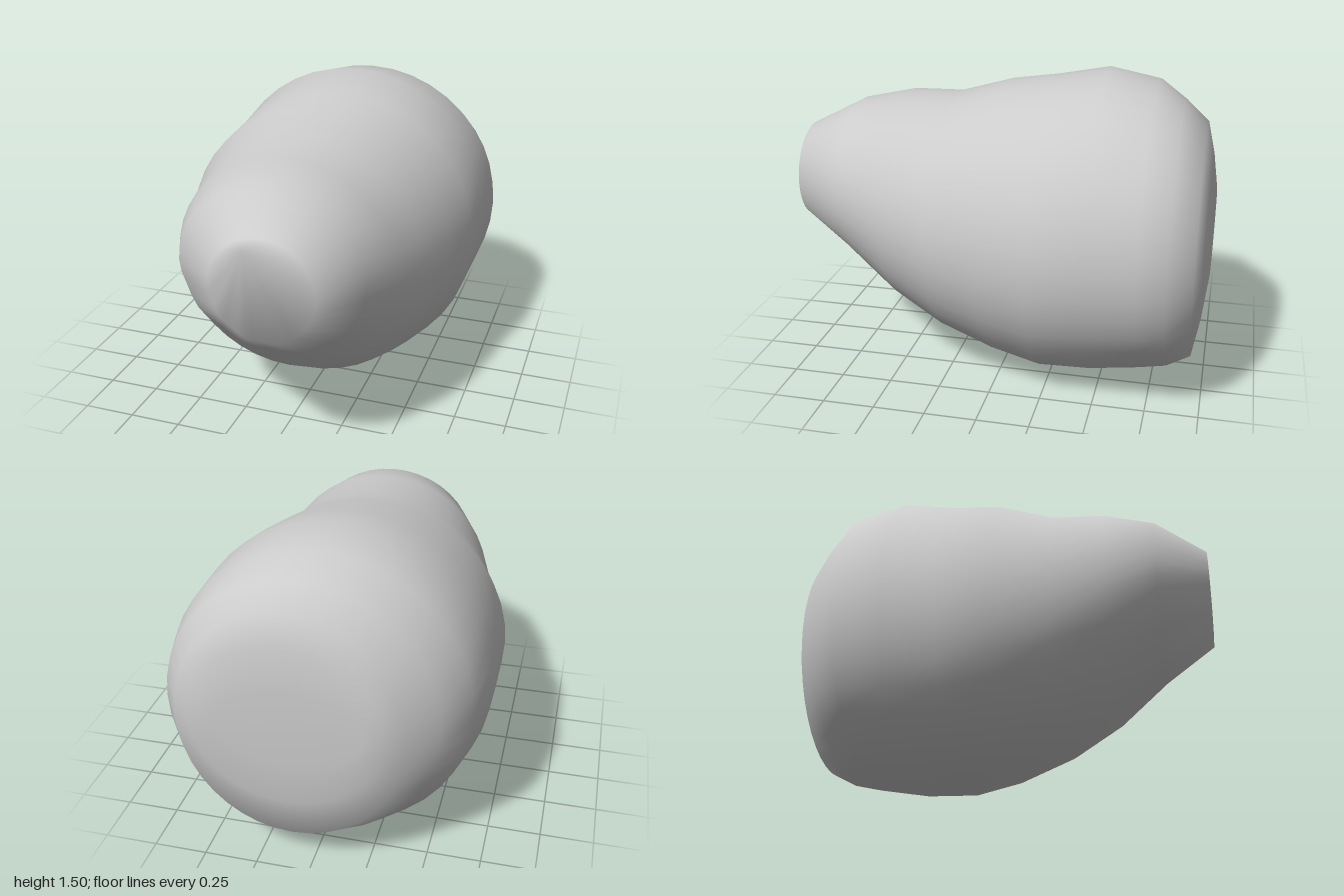
import * as THREE from 'three';

// Cross-sections from blunt tip to broad base: z, bottom y, top y, min x, max x
const SECTIONS = [
  [1.00, 0.69, 1.17, -0.18, 0.30],
  [0.76, 0.51, 1.29, -0.43, 0.44],
  [0.52, 0.30, 1.34, -0.55, 0.53],
  [0.28, 0.15, 1.34, -0.63, 0.59],
  [0.02, 0.04, 1.41, -0.72, 0.64],
  [-0.21, 0.00, 1.45, -0.72, 0.70],
  [-0.46, 0.01, 1.50, -0.72, 0.71],
  [-0.70, 0.06, 1.46, -0.67, 0.715],
  [-0.83, 0.10, 1.38, -0.55, 0.69],
  [-0.94, 0.16, 1.29, -0.42, 0.61],
  [-0.975, 0.36, 1.14, -0.34, 0.54],
  [-1.00, 0.58, 0.95, -0.25, 0.40],
];
const SIDES = 40;

function loftGeometry() {
  const points = [], faces = [];
  for (const [z, y0, y1, x0, x1] of SECTIONS) {
    for (let i = 0; i < SIDES; i++) {
      const a = (i / SIDES) * Math.PI * 2;
      // shallow puckers around the lower edge of the tip
      const lower = Math.max(0, -Math.sin(a + 0.3));
      const pucker = z > 0.7 ? 1 - 0.04 * lower * (1 - Math.cos(a * 10)) * 0.5 : 1;
      points.push(
        (x0 + x1) / 2 + Math.cos(a) * pucker * (x1 - x0) / 2,
        (y0 + y1) / 2 + Math.sin(a) * pucker * (y1 - y0) / 2,
        z
      );
    }
  }
  // skin between neighbouring sections
  for (let k = 0; k < SECTIONS.length - 1; k++) {
    for (let i = 0; i < SIDES; i++) {
      const j = (i + 1) % SIDES;
      const a = k * SIDES, b = a + SIDES;
      faces.push(a + i, b + i, b + j, a + i, b + j, a + j);
    }
  }
  // tip fan meets high up; base fan is slightly dished
  const tip = points.length / 3, base = tip + 1;
  points.push(-0.02, 1.1, 1, 0.07, 0.76, -0.975);
  const last = (SECTIONS.length - 1) * SIDES;
  for (let i = 0; i < SIDES; i++) {
    const j = (i + 1) % SIDES;
    faces.push(tip, i, j, base, last + j, last + i);
  }
  const geometry = new THREE.BufferGeometry();
  geometry.setAttribute('position', new THREE.Float32BufferAttribute(points, 3));
  geometry.setIndex(faces);
  geometry.computeVertexNormals();
  return geometry;
}

export function createModel() {
  const group = new THREE.Group();
  group.name = 'taperedLump';
  const body = new THREE.Mesh(loftGeometry(), new THREE.MeshStandardMaterial({ color: 0xcccccc }));
  body.name = 'body';
  group.add(body);
  return group;
}
